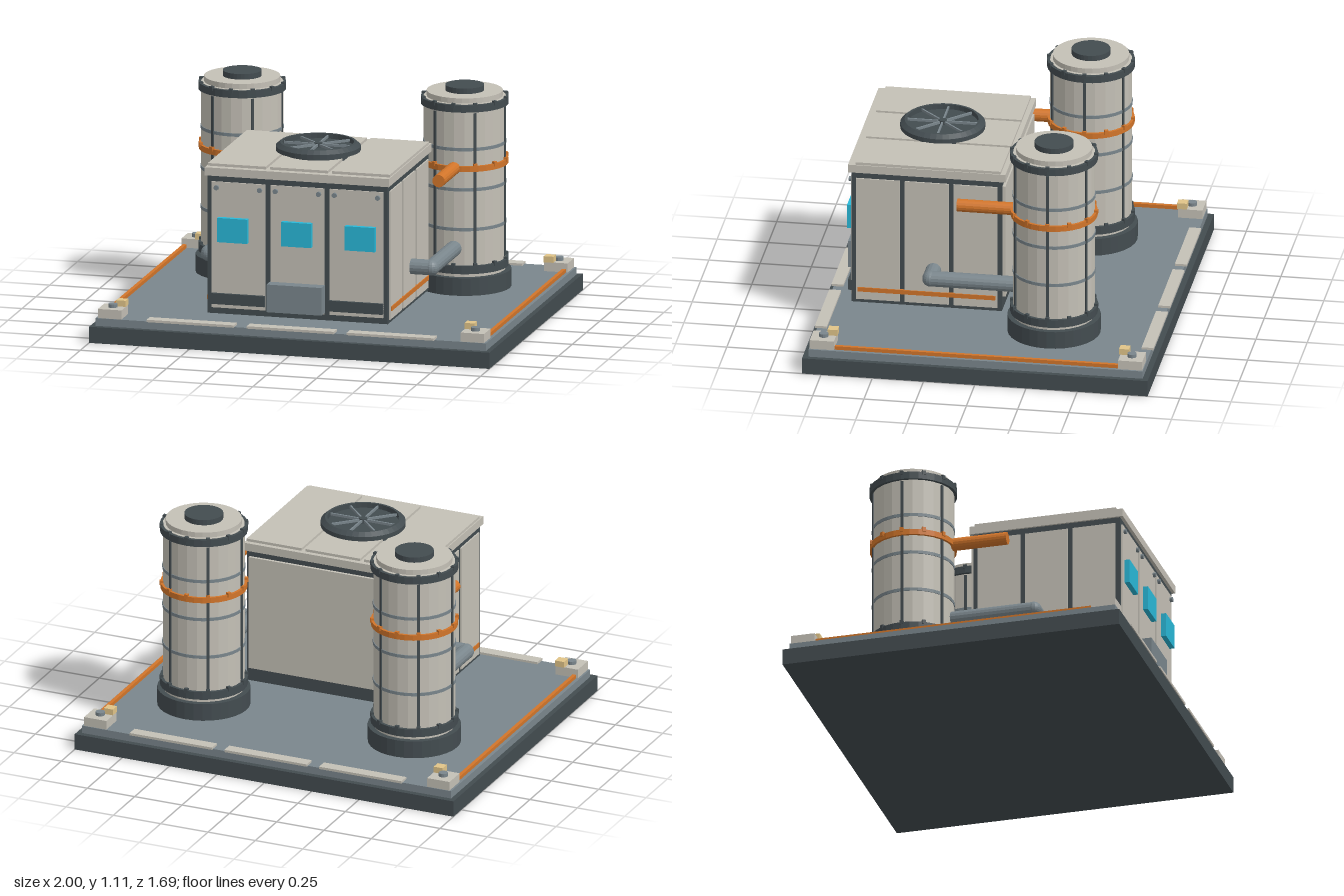
import * as THREE from 'three';

const mat = (color) => new THREE.MeshStandardMaterial({ color, flatShading: true });
const LIGHT = mat(0xc4c0b6), DARK = mat(0x434c50), STEEL = mat(0x7a868c);
const ORANGE = mat(0xd2752a), CYAN = mat(0x29b8d8), BRASS = mat(0xe0c488);

function add(parent, name, geometry, material, x = 0, y = 0, z = 0) {
  const mesh = new THREE.Mesh(geometry, material);
  mesh.name = name;
  mesh.position.set(x, y, z);
  parent.add(mesh);
  return mesh;
}

// Box given by its min and max on each axis
function box(parent, name, material, [x0, x1], [y0, y1], [z0, z1]) {
  return add(parent, name, new THREE.BoxGeometry(x1 - x0, y1 - y0, z1 - z0), material,
    (x0 + x1) / 2, (y0 + y1) / 2, (z0 + z1) / 2);
}

// Upright cylinder given by radius and height range
function drum(parent, name, material, r, y0, y1, x = 0, z = 0, sides = 32) {
  return add(parent, name, new THREE.CylinderGeometry(r, r, y1 - y0, sides), material, x, (y0 + y1) / 2, z);
}

// Round pipe between two points
function pipe(parent, name, material, r, a, b) {
  const path = new THREE.LineCurve3(new THREE.Vector3(...a), new THREE.Vector3(...b));
  const len = path.getLength();
  const mesh = add(parent, name, new THREE.CylinderGeometry(r, r, len, 16), material, ...path.getPoint(0.5).toArray());
  mesh.quaternion.setFromUnitVectors(new THREE.Vector3(0, 1, 0), path.getTangent(0));
  return mesh;
}

function buildBase() {
  const g = new THREE.Group();
  g.name = 'base';
  box(g, 'foundation', DARK, [-1, 1], [0, 0.08], [-0.843, 0.843]);
  box(g, 'deck', STEEL, [-0.975, 0.975], [0.08, 0.118], [-0.815, 0.815]);
  for (const s of [-1, 1]) {
    // edge strips along front and back, orange rail along each side
    for (const x of [-0.5, 0, 0.5]) {
      add(g, 'edgeStrip', new THREE.BoxGeometry(0.435, 0.012, 0.058), LIGHT, x, 0.123, s * 0.797);
    }
    add(g, 'sideRail', new THREE.BoxGeometry(0.018, 0.018, 1.38), ORANGE, s * 0.948, 0.127, 0);
    // corner pads with bolt and lamp
    for (const t of [-1, 1]) {
      add(g, 'cornerPad', new THREE.BoxGeometry(0.118, 0.046, 0.118), LIGHT, s * 0.906, 0.14, t * 0.752);
      drum(g, 'cornerBolt', STEEL, 0.023, 0.16, 0.18, s * 0.906, t * 0.752, 12);
      add(g, 'cornerLamp', new THREE.BoxGeometry(0.048, 0.03, 0.048), BRASS, s * 0.871, 0.178, t * 0.711);
    }
  }
  return g;
}

function buildHouse() {
  const g = new THREE.Group();
  g.name = 'machineHouse';
  box(g, 'frame', DARK, [-0.45, 0.45], [0.15, 0.833], [-0.043, 0.69]);
  box(g, 'roof', LIGHT, [-0.46, 0.46], [0.833, 0.873], [-0.062, 0.706]);
  box(g, 'backPanel', LIGHT, [-0.435, 0.435], [0.22, 0.8], [-0.058, -0.04]);

  for (const x of [-0.295, 0, 0.295]) {
    // front bay: panel, window, bolts, and roof panel above
    box(g, 'frontPanel', LIGHT, [x - 0.134, x + 0.134], [0.18, 0.803], [0.68, 0.697]);
    const wx = x * 1.08;
    box(g, 'window', CYAN, [wx - 0.075, wx + 0.075], [0.51, 0.63], [0.69, 0.722]);
    for (const s of [-1, 1]) {
      pipe(g, 'panelBolt', STEEL, 0.012, [x + s * 0.108, 0.775, 0.69], [x + s * 0.108, 0.775, 0.71]);
    }
    if (x) box(g, 'kickVent', DARK, [x - 0.134, x + 0.134], [0.2, 0.253], [0.69, 0.712]);
    box(g, 'roofPanel', LIGHT, [x * 1.05 - 0.145, x * 1.05 + 0.145], [0.87, 0.886], [-0.038, 0.67]);
  }
  box(g, 'frontCabinet', STEEL, [-0.137, 0.137], [0.188, 0.325], [0.69, 0.758]);

  for (const s of [-1, 1]) {
    for (const z of [0.085, 0.323, 0.561]) {
      add(g, 'sidePanel', new THREE.BoxGeometry(0.018, 0.635, 0.214), LIGHT, s * 0.448, 0.485, z);
    }
    add(g, 'sideStripe', new THREE.BoxGeometry(0.02, 0.022, 0.67), ORANGE, s * 0.452, 0.22, 0.323);
  }
  return g;
}

function buildFan() {
  const g = new THREE.Group();
  g.name = 'roofFan';
  g.position.set(0, 0, 0.318);
  drum(g, 'fanCollar', DARK, 0.17, 0.87, 0.905);
  drum(g, 'fanDisc', DARK, 0.19, 0.895, 0.915);
  // stepped guard ring
  const profile = [[0.172, 0.9], [0.205, 0.9], [0.205, 0.922], [0.184, 0.94], [0.172, 0.94], [0.172, 0.9]];
  add(g, 'fanRing', new THREE.LatheGeometry(profile.map(p => new THREE.Vector2(...p)), 40), DARK);
  for (let i = 0; i < 4; i++) {
    const spoke = add(g, 'fanSpoke', new THREE.BoxGeometry(0.35, 0.012, 0.008), STEEL, 0, 0.926, 0);
    spoke.rotation.y = i * Math.PI / 4;
  }
  drum(g, 'fanHub', DARK, 0.02, 0.91, 0.936, 0, 0, 16);
  return g;
}

function buildTank(side) {
  const g = new THREE.Group();
  g.name = side > 0 ? 'leftTank' : 'rightTank';
  g.position.set(side * 0.556, 0, -0.315);
  drum(g, 'tankPlinth', DARK, 0.225, 0.118, 0.205);
  drum(g, 'tankBody', LIGHT, 0.198, 0.2, 1.06, 0, 0, 24);
  drum(g, 'lowerFlange', DARK, 0.212, 0.222, 0.262);
  drum(g, 'upperFlange', DARK, 0.212, 1.022, 1.058);
  drum(g, 'tankLid', LIGHT, 0.184, 1.055, 1.086);
  drum(g, 'ventCap', DARK, 0.094, 1.08, 1.113);
  drum(g, 'orangeBand', ORANGE, 0.21, 0.727, 0.755);
  for (const y of [0.44, 0.637, 0.836]) drum(g, 'hoop', STEEL, 0.201, y - 0.008, y + 0.008);

  // twelve bolts on each flange and band, six vertical seams
  for (let i = 0; i < 12; i++) {
    const a = i * Math.PI / 6, sx = Math.sin(a), cz = Math.cos(a);
    for (const [y, m] of [[0.262, DARK], [1.055, DARK], [0.755, ORANGE]]) {
      add(g, 'flangeBolt', new THREE.BoxGeometry(0.018, 0.022, 0.018), m, sx * 0.205, y, cz * 0.205).rotation.y = a;
    }
    if (i % 2) {
      add(g, 'seam', new THREE.BoxGeometry(0.014, 0.74, 0.014), DARK, sx * 0.196, 0.645, cz * 0.196).rotation.y = a;
    }
  }
  return g;
}

function buildPipes(side) {
  const g = new THREE.Group();
  g.name = side > 0 ? 'leftPipes' : 'rightPipes';
  const x = side * 0.556, y = 0.345, z = 0.289;
  pipe(g, 'orangePipe', ORANGE, 0.031, [x, 0.742, -0.2], [x, 0.742, 0.157]);
  pipe(g, 'tankPipe', STEEL, 0.038, [x, y, -0.2], [x, y, z]);
  pipe(g, 'housePipe', STEEL, 0.038, [x, y, z], [side * 0.44, y, z]);
  add(g, 'pipeElbow', new THREE.SphereGeometry(0.039, 16, 12), STEEL, x, y, z);
  return g;
}

export function createModel() {
  const model = new THREE.Group();
  model.name = 'industrialPlant';
  model.add(buildBase(), buildHouse(), buildFan());
  for (const side of [-1, 1]) model.add(buildTank(side), buildPipes(side));
  return model;
}
